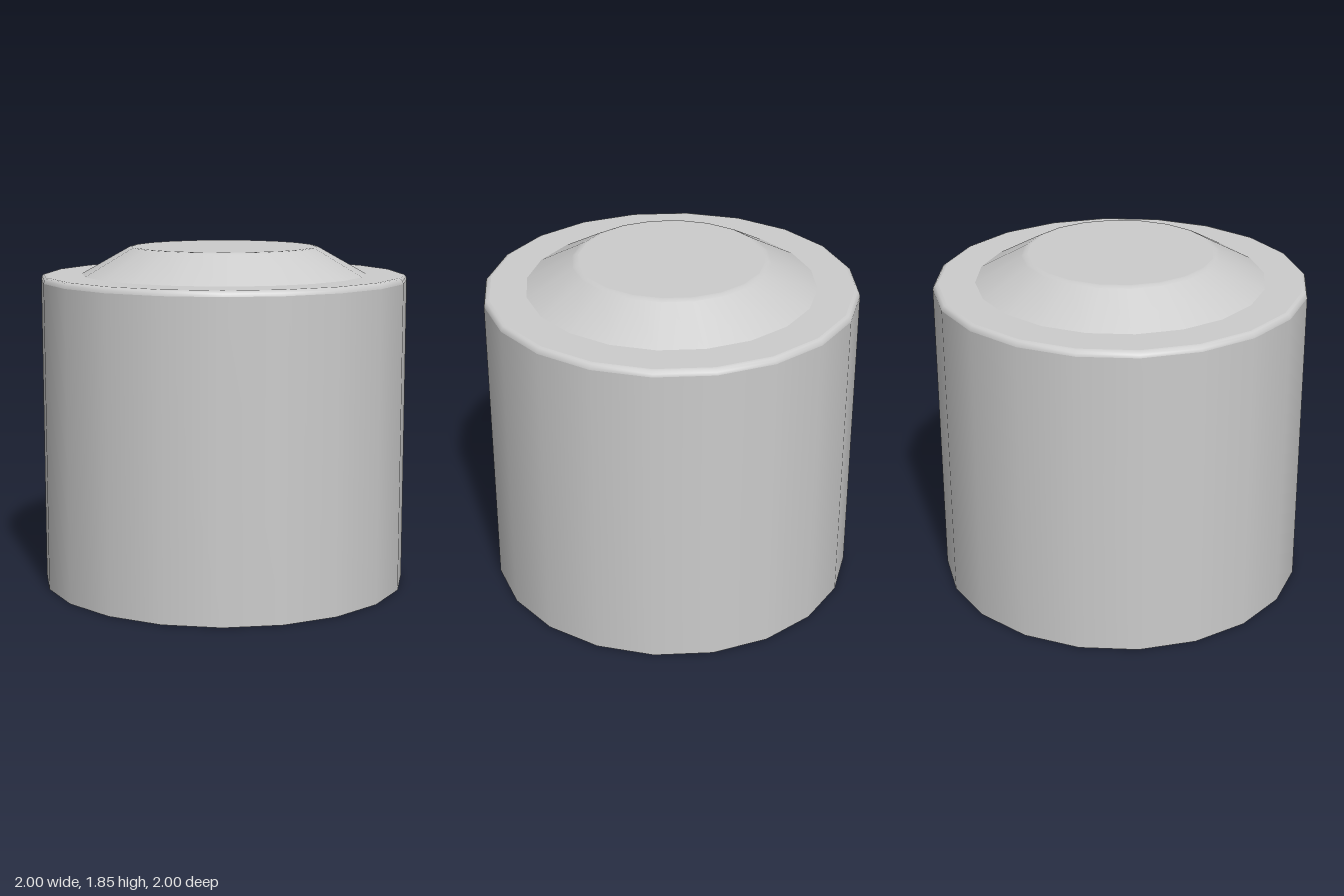
import * as THREE from 'three';

const SIDES = 20;

export function createModel() {
  const group = new THREE.Group();
  const material = new THREE.MeshStandardMaterial({ color: 0xcccccc });

  // Each band is its own lathe, so edges between bands stay sharp while the sides shade smoothly.
  const band = (name, ...points) => {
    const profile = points.map(([r, y]) => new THREE.Vector2(r, y));
    const mesh = new THREE.Mesh(new THREE.LatheGeometry(profile, SIDES), material);
    mesh.name = name;
    group.add(mesh);
  };

  // Cylindrical body with a small rounded rim
  const fillet = 0.03;
  const arc = [0, 1, 2, 3].map((i) => {
    const a = (i / 3) * Math.PI / 2;
    return [1 - fillet + fillet * Math.cos(a), 1.7 - fillet + fillet * Math.sin(a)];
  });
  band('base', [0, 0], [1, 0]);
  band('bodyWall', [1, 0], [1, 1.67]);
  band('roundedRim', ...arc);
  band('shoulder', [0.97, 1.7], [0.775, 1.7]);

  // Raised sloping cap with a softened top edge
  band('capSlope', [0.775, 1.7], [0.525, 1.841]);
  band('capEdge', [0.525, 1.841], [0.511, 1.848], [0.495, 1.85]);
  band('capTop', [0.495, 1.85], [0, 1.85]);

  return group;
}
